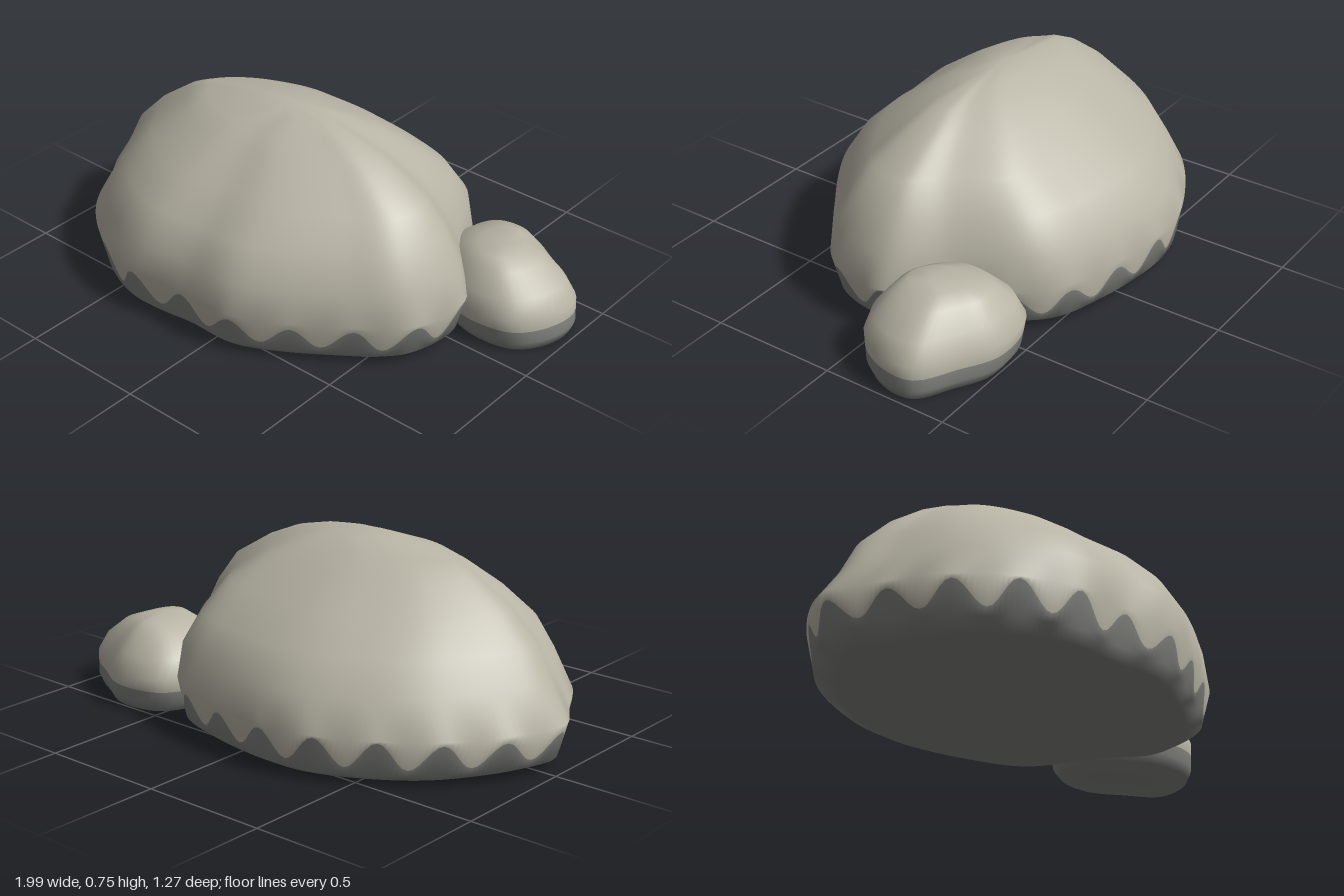
import * as THREE from 'three';

const stone = new THREE.MeshStandardMaterial({ color: 0xb9b5a6 });
stone.name = 'pale stone';
const base = new THREE.MeshStandardMaterial({ color: 0x868782 });
base.name = 'dark stone base';

// Stacks rings of one outline; each level is [y, xMin, xMax, zMin, zMax].
// The dark base reaches up to edge(t), with t running 0..1 round the outline.
function boulder(name, outline, levels, peak, edge, segments) {
  const curve = new THREE.CatmullRomCurve3(
    outline.map(([x, z]) => new THREE.Vector3(x, 0, z)), true);
  const ring = curve.getSpacedPoints(segments).slice(0, segments);
  const box = new THREE.Box3().setFromPoints(ring);
  const size = box.getSize(new THREE.Vector3());

  // Extents at any height, interpolated between the levels
  const extentsAt = (y) => {
    let i = 1;
    while (i < levels.length - 1 && levels[i][0] < y) i++;
    const a = levels[i - 1], b = levels[i];
    const f = (y - a[0]) / (b[0] - a[0]);
    return a.map((v, k) => v + (b[k] - v) * f);
  };

  // Ring heights: the two lowest levels, the colour edge, then the rest
  const heights = levels.map((l) => () => l[0]);
  heights.splice(2, 0, edge);

  const positions = [];
  for (const height of heights) {
    ring.forEach((p, j) => {
      const y = height(j / segments);
      const [, x0, x1, z0, z1] = extentsAt(y);
      positions.push(
        x0 + (x1 - x0) * (p.x - box.min.x) / size.x, y,
        z0 + (z1 - z0) * (p.z - box.min.z) / size.z);
    });
  }
  const bottom = positions.length / 3, top = bottom + 1;
  const low = levels[0];
  positions.push((low[1] + low[2]) / 2, 0, (low[3] + low[4]) / 2, ...peak);

  const index = [];
  for (let j = 0; j < segments; j++) index.push(bottom, j, (j + 1) % segments);
  let darkCount = 0;
  for (let i = 0; i < heights.length - 1; i++) {
    if (i === 2) darkCount = index.length;
    for (let j = 0; j < segments; j++) {
      const k = (j + 1) % segments;
      const a = i * segments + j, b = i * segments + k;
      index.push(a, a + segments, b, b, a + segments, b + segments);
    }
  }
  const last = (heights.length - 1) * segments;
  for (let j = 0; j < segments; j++) index.push(last + j, top, last + (j + 1) % segments);

  const geometry = new THREE.BufferGeometry();
  geometry.setAttribute('position', new THREE.Float32BufferAttribute(positions, 3));
  geometry.setIndex(index);
  geometry.addGroup(0, darkCount, 0);
  geometry.addGroup(darkCount, index.length - darkCount, 1);
  geometry.computeVertexNormals();
  const mesh = new THREE.Mesh(geometry, [base, stone]);
  mesh.name = name;
  return mesh;
}

export function createModel() {
  const group = new THREE.Group();
  group.name = 'rocks';

  // Large boulder with a wavy dark base
  const wave = (t) => {
    const tooth = 0.5 + 0.5 * Math.cos(t * 20 * Math.PI * 2);
    return 0.07 + (0.092 + 0.012 * Math.sin(t * Math.PI * 6)) * tooth;
  };
  group.add(boulder('largeBoulder',
    [[-0.12, 0.61], [-0.38, 0.63], [-0.6, 0.55], [-0.79, 0.4], [-0.92, 0.19], [-1, 0.03],
      [-0.8, -0.35], [-0.53, -0.55], [-0.27, -0.64], [0.13, -0.6], [0.38, -0.5],
      [0.57, -0.2], [0.71, -0.02], [0.67, 0.23], [0.5, 0.38], [0.12, 0.6]],
    [[0, -0.88, 0.6, -0.55, 0.57],
      [0.04, -0.96, 0.67, -0.62, 0.61],
      [0.18, -1, 0.71, -0.64, 0.635],
      [0.31, -0.91, 0.68, -0.61, 0.62],
      [0.43, -0.85, 0.62, -0.52, 0.54],
      [0.54, -0.74, 0.54, -0.38, 0.42],
      [0.64, -0.6, 0.37, -0.24, 0.28],
      [0.69, -0.5, 0.25, -0.14, 0.2],
      [0.725, -0.26, 0.11, -0.06, 0.11]],
    [-0.12, 0.745, 0.03], wave, 240));

  // Small boulder with a level dark base
  group.add(boulder('smallBoulder',
    [[0.69, -0.03], [0.5, -0.12], [0.4, -0.28], [0.48, -0.5], [0.69, -0.54],
      [0.85, -0.46], [1, -0.36], [1, -0.21], [0.9, -0.06]],
    [[0, 0.45, 0.97, -0.49, -0.07],
      [0.04, 0.42, 0.985, -0.515, -0.05],
      [0.14, 0.4, 0.98, -0.525, -0.035],
      [0.21, 0.43, 0.94, -0.49, -0.055],
      [0.28, 0.51, 0.85, -0.43, -0.11],
      [0.31, 0.6, 0.77, -0.37, -0.15]],
    [0.71, 0.32, -0.24], () => 0.09, 48));

  return group;
}
